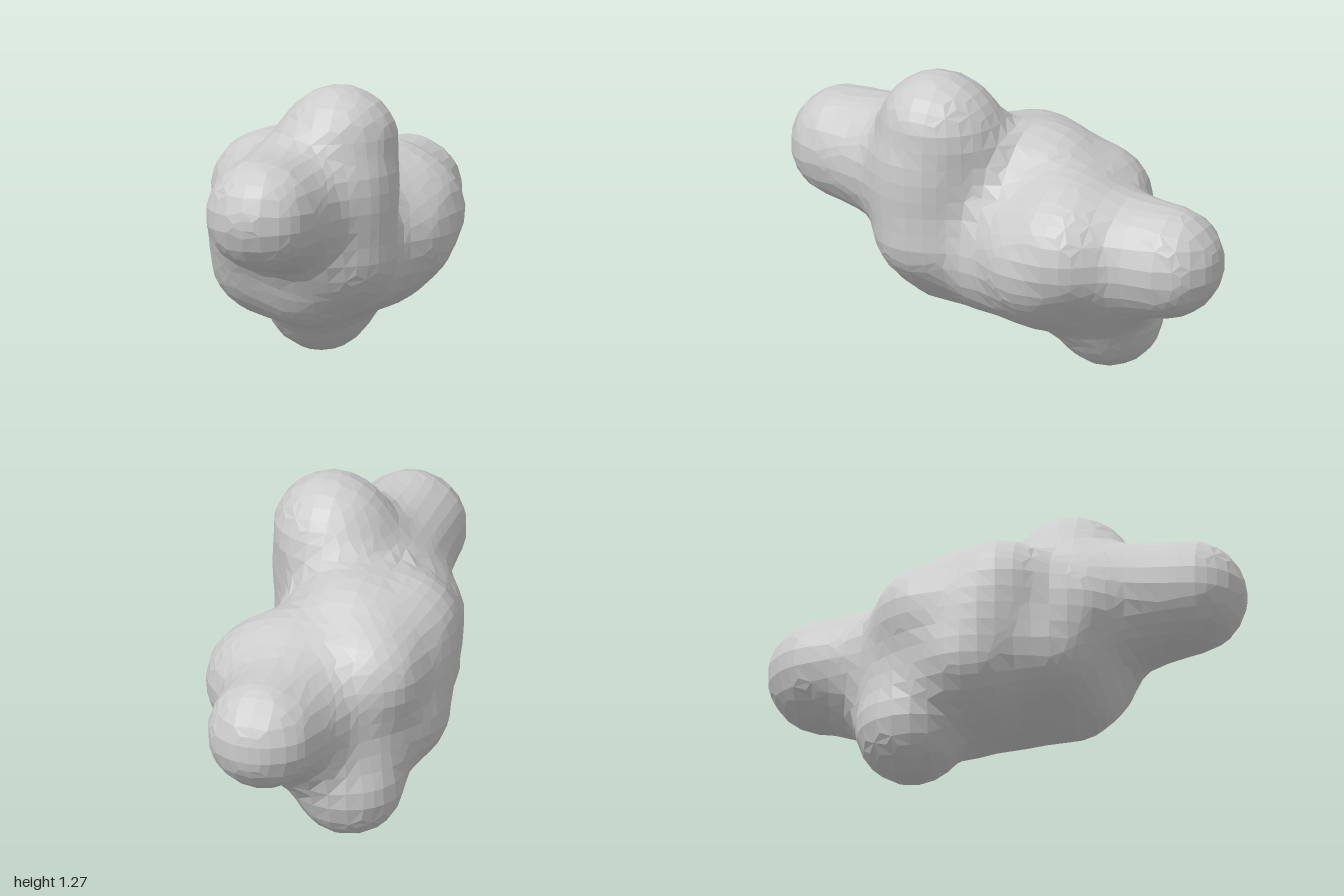
import * as THREE from 'three';

// Each lobe is a tapered capsule: start point, end point, start radius, end radius
const LOBES = [
  [[0, 0.78, 0.34], [-0.027, 0.823, 0.765], 0.28, 0.235],     // front knob
  [[0.175, 0.92, 0.3], [0.15, 1.035, 0.27], 0.21, 0.235],     // top knob
  [[0.02, 0.82, 0.08], [0.1, 0.95, 0.2], 0.19, 0.19],         // top knob root
  [[0.05, 0.58, -0.38], [0.105, 0.603, -0.765], 0.27, 0.235], // back knob
  [[0.02, 0.43, -0.46], [0, 0.42, -0.4], 0.19, 0.19],         // back underside
  [[-0.09, 0.46, -0.25], [-0.14, 0.225, -0.38], 0.27, 0.222], // bottom knob
  [[0.255, 0.62, -0.35], [0.25, 0.57, -0.25], 0.222, 0.222],  // left bulge
  [[0.14, 0.7, -0.32], [0.1, 0.65, -0.15], 0.2, 0.2],         // left bulge top
  [[0.15, 0.45, -0.2], [0.13, 0.47, 0], 0.19, 0.19],          // left underside
  [[-0.26, 0.775, 0.02], [-0.26, 0.45, -0.12], 0.21, 0.21],   // right bulge
  [[-0.21, 0.7, -0.3], [-0.2, 0.72, -0.15], 0.21, 0.21],      // right rear bulge
  [[-0.19, 0.67, 0.28], [-0.2, 0.51, 0.2], 0.215, 0.215],     // right front bulge
  [[0.18, 0.59, 0.3], [0.18, 0.72, 0.31], 0.21, 0.2],         // left front bulge
  [[0.02, 0.465, 0.25], [-0.1, 0.42, -0.08], 0.22, 0.22],     // belly
  [[-0.07, 0.81, -0.13], [0.04, 0.62, 0.03], 0.21, 0.2],      // core
].map(([a, b, r0, r1]) => ({
  line: new THREE.Line3(new THREE.Vector3(...a), new THREE.Vector3(...b)), r0, r1,
}));

const BLEND = 0.05;
const STEP = 0.073;
const MIN = [-0.74, -0.2, -1.2];
const SIZE = [21, 24, 34];

// Signed distance to the smoothly blended lobes
const nearest = new THREE.Vector3();
function field(p) {
  let sum = 0;
  for (const { line, r0, r1 } of LOBES) {
    const t = line.closestPointToPointParameter(p, true);
    line.at(t, nearest);
    sum += Math.exp((r0 + (r1 - r0) * t - nearest.distanceTo(p)) / BLEND);
  }
  return -BLEND * Math.log(sum);
}

// Move a point onto the blended surface along the gradient
function project(p) {
  const e = 0.002;
  for (let n = 0; n < 3; n++) {
    const d = field(p);
    const g = new THREE.Vector3();
    for (let a = 0; a < 3; a++) {
      const q = p.clone();
      q.setComponent(a, q.getComponent(a) + e);
      g.setComponent(a, (field(q) - d) / e);
    }
    p.addScaledVector(g, -d / Math.max(g.lengthSq(), 0.2));
  }
  return p;
}

// Coarse grid skin: one vertex per crossed cell, one quad per crossed edge
function blobGeometry() {
  const stride = [1, SIZE[0], SIZE[0] * SIZE[1]];
  const total = stride[2] * SIZE[2];
  const coords = (i) => [i % SIZE[0], Math.floor(i / stride[1]) % SIZE[1], Math.floor(i / stride[2])];
  const pointAt = (i) => new THREE.Vector3(...coords(i).map((c, a) => MIN[a] + c * STEP));
  const values = Array.from({ length: total }, (_, i) => field(pointAt(i)));
  const inner = (i) => coords(i).every((c, a) => c > 0 && c < SIZE[a] - 1);

  const positions = [];
  const vertexOf = new Map();
  for (let i = 0; i < total; i++) {
    if (!inner(i)) continue;
    const mean = new THREE.Vector3();
    let count = 0;
    for (let k = 0; k < 8; k++) {
      for (let a = 0; a < 3; a++) {
        if (k & (1 << a)) continue;
        const from = i + (k & 1) * stride[0] + ((k >> 1) & 1) * stride[1] + (k >> 2) * stride[2];
        const to = from + stride[a];
        if (values[from] < 0 === values[to] < 0) continue;
        mean.add(pointAt(from).lerp(pointAt(to), values[from] / (values[from] - values[to])));
        count++;
      }
    }
    if (!count) continue;
    vertexOf.set(i, positions.length / 3);
    positions.push(...project(mean.divideScalar(count)).toArray());
  }

  const index = [];
  for (let i = 0; i < total; i++) {
    if (!inner(i)) continue;
    for (let a = 0; a < 3; a++) {
      const inside = values[i] < 0;
      if (inside === values[i + stride[a]] < 0) continue;
      const b = stride[(a + 1) % 3];
      const c = stride[(a + 2) % 3];
      const quad = [i - b - c, i - c, i, i - b].map((cell) => vertexOf.get(cell));
      if (!inside) quad.reverse();
      index.push(quad[0], quad[1], quad[2], quad[0], quad[2], quad[3]);
    }
  }

  const geometry = new THREE.BufferGeometry();
  geometry.setAttribute('position', new THREE.Float32BufferAttribute(positions, 3));
  geometry.setIndex(index);
  return geometry;
}

export function createModel() {
  const group = new THREE.Group();
  group.name = 'lumpyBlob';

  const geometry = blobGeometry().toNonIndexed();
  geometry.computeVertexNormals();
  geometry.computeBoundingBox();
  geometry.translate(0, -geometry.boundingBox.min.y, 0);

  const material = new THREE.MeshStandardMaterial({ color: 0xcccccc, flatShading: true });
  const body = new THREE.Mesh(geometry, material);
  body.name = 'body';
  group.add(body);
  return group;
}
